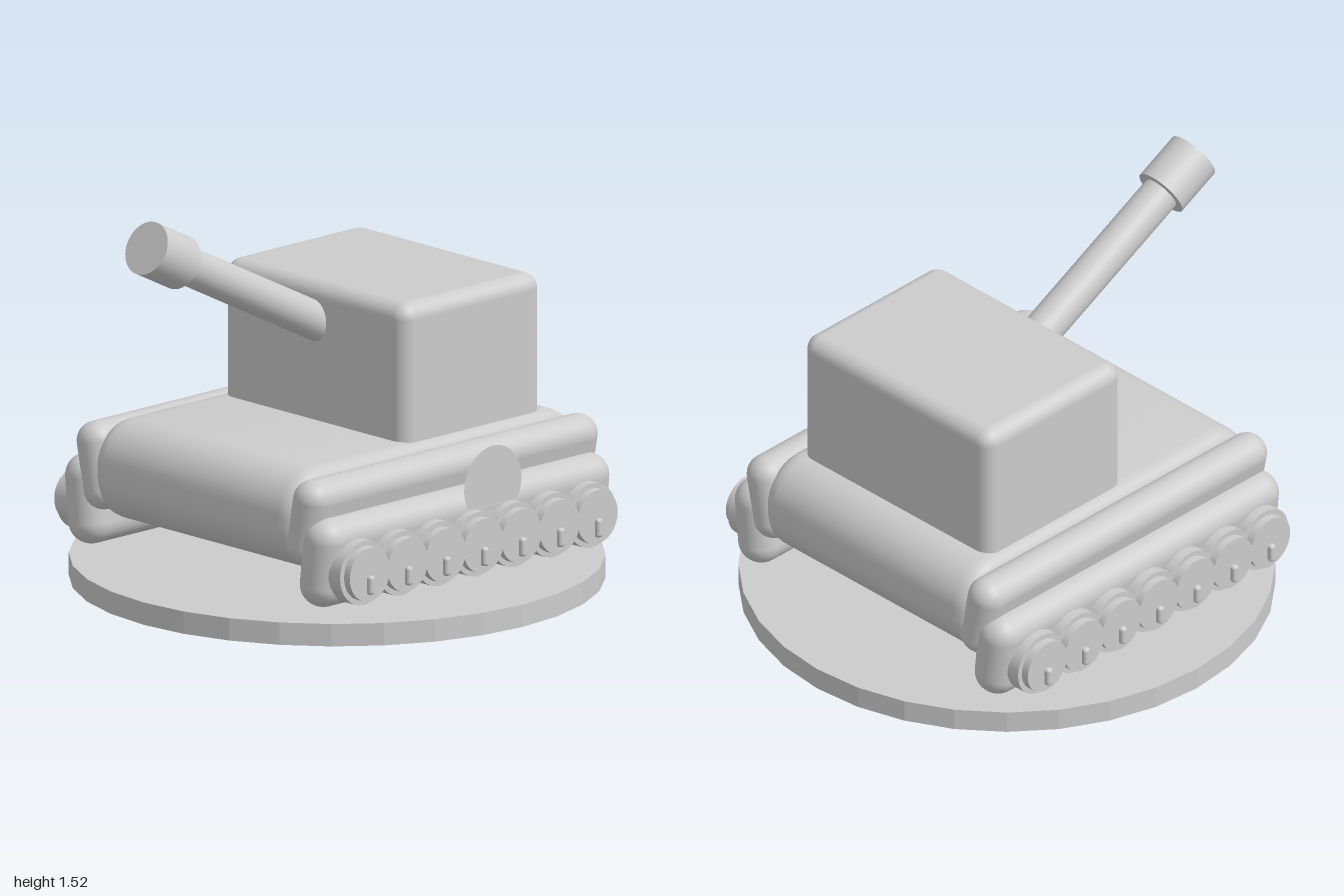
import * as THREE from 'three';
import { RoundedBoxGeometry } from 'three/addons/geometries/RoundedBoxGeometry.js';

const grey = new THREE.MeshStandardMaterial({ color: 0xcccccc });
grey.name = 'light grey';
const greySheet = grey.clone();
greySheet.name = 'light grey sheet';
greySheet.side = THREE.DoubleSide;

const CENTRE_Z = -0.015;

function add(parent, name, geometry, x = 0, y = 0, z = 0, material = grey) {
  const mesh = new THREE.Mesh(geometry, material);
  mesh.name = name;
  mesh.position.set(x, y, z);
  parent.add(mesh);
  return mesh;
}

// Rounded rectangle outline centred on the origin
function roundedRect(w, h, r) {
  const s = new THREE.Shape();
  const x = w / 2 - r, y = h / 2 - r;
  s.absarc(x, y, r, 0, Math.PI / 2);
  s.absarc(-x, y, r, Math.PI / 2, Math.PI);
  s.absarc(-x, -y, r, Math.PI, Math.PI * 1.5);
  s.absarc(x, -y, r, Math.PI * 1.5, Math.PI * 2);
  s.closePath();
  return s;
}

// Cylinder whose axis runs along x
function wheelDisc(radius, length) {
  return new THREE.CylinderGeometry(radius, radius, length, 32).rotateZ(Math.PI / 2);
}

function createTrack(side) {
  const track = new THREE.Group();
  track.name = side > 0 ? 'leftTrack' : 'rightTrack';

  // Two leaning, fully rounded slabs
  const upper = add(track, 'upperFender', new RoundedBoxGeometry(0.15, 0.33, 1.49, 6, 0.074), side * 0.555, 0.44, CENTRE_Z);
  upper.rotation.z = -side * 0.2;
  const lower = add(track, 'lowerFender', new RoundedBoxGeometry(0.17, 0.34, 1.49, 6, 0.084), side * 0.622, 0.3, CENTRE_Z);
  lower.rotation.z = -side * 0.1;

  // Seven stepped wheels, each with a small upright peg
  for (let i = 0; i < 7; i++) {
    const z = 0.57 - i * 0.193;
    const wheel = new THREE.Group();
    wheel.name = 'wheel';
    wheel.position.set(0, 0.27, z);
    add(wheel, 'wheelRim', wheelDisc(0.122, 0.13), side * 0.687);
    add(wheel, 'wheelHub', wheelDisc(0.102, 0.1), side * 0.733);
    add(wheel, 'wheelPeg', new RoundedBoxGeometry(0.05, 0.072, 0.03, 3, 0.012), side * 0.777, -0.04, 0);
    track.add(wheel);
  }
  return track;
}

export function createModel() {
  const model = new THREE.Group();
  model.name = 'tank';

  // Faceted display base
  const base = new THREE.CylinderGeometry(0.985, 0.985, 0.085, 32).toNonIndexed();
  base.computeVertexNormals();
  add(model, 'base', base, 0, 0.0425, CENTRE_Z);

  // Hull: rounded side profile drawn across the width
  const hull = new THREE.ExtrudeGeometry(roundedRect(1.39, 0.28, 0.12), {
    depth: 0.92, bevelEnabled: true, bevelSize: 0.05, bevelThickness: 0.07, bevelSegments: 4, curveSegments: 10,
  });
  hull.translate(0, 0, -0.46).rotateY(Math.PI / 2);
  add(model, 'hull', smoothByAngle(hull), 0, 0.43, CENTRE_Z);

  // Turret
  add(model, 'turret', new RoundedBoxGeometry(0.97, 0.64, 0.71, 5, 0.06), 0, 0.82, -0.245);

  // Raised gun, built along +z from its mount
  const gun = new THREE.Group();
  gun.name = 'gun';
  gun.position.set(0, 0.998, 0.11);
  gun.rotation.x = -Math.atan(0.51);
  const barrel = new THREE.CylinderGeometry(0.072, 0.072, 0.95, 32).rotateX(Math.PI / 2);
  add(gun, 'barrel', barrel, 0, 0, 0.375);
  const muzzle = new THREE.CylinderGeometry(0.102, 0.102, 0.19, 32).rotateX(Math.PI / 2);
  add(gun, 'muzzle', muzzle, 0, 0, 0.853);
  model.add(gun);

  model.add(createTrack(1), createTrack(-1));

  // Flat round plate on the left flank
  const plate = add(model, 'sidePlate', new THREE.CircleGeometry(0.146, 32), 0.715, 0.47, -0.12, greySheet);
  plate.rotation.y = Math.PI / 2;

  return model;
}

// Average normals between neighbouring faces that meet at less than about 40 degrees
function smoothByAngle(geometry) {
  const g = geometry.index ? geometry.toNonIndexed() : geometry;
  g.computeVertexNormals();
  const p = g.attributes.position, n = g.attributes.normal;
  const corners = new Map();
  const key = (i) => [p.getX(i), p.getY(i), p.getZ(i)].map((v) => Math.round(v * 1e4)).join();
  const flat = [];
  for (let i = 0; i < p.count; i++) {
    flat.push(new THREE.Vector3().fromBufferAttribute(n, i));
    const k = key(i);
    if (!corners.has(k)) corners.set(k, []);
    corners.get(k).push(i);
  }
  for (const group of corners.values()) {
    for (const i of group) {
      const sum = new THREE.Vector3();
      for (const j of group) if (flat[i].dot(flat[j]) > 0.76) sum.add(flat[j]);
      sum.normalize();
      n.setXYZ(i, sum.x, sum.y, sum.z);
    }
  }
  return g;
}
